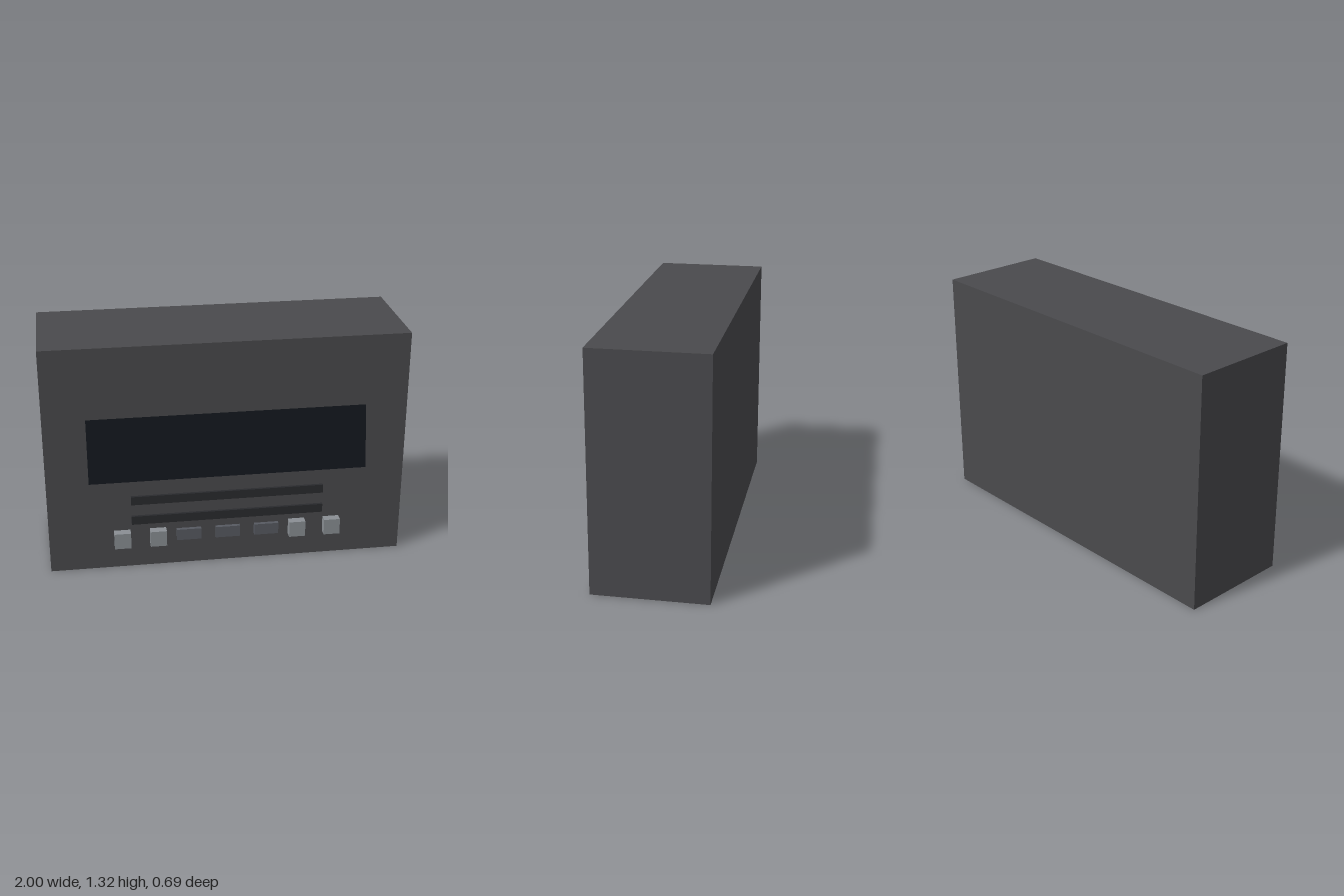
import * as THREE from 'three';

const FRONT = 0.285; // z of the front panel

export function createModel() {
  const model = new THREE.Group();
  const mat = (color) => new THREE.MeshStandardMaterial({ color });
  const body = mat(0x4a4a4d), slot = mat(0x2a2b2e), knob = mat(0x8a8f94), key = mat(0x575a62);

  // Box given by its centre in x and y, its size and its z range
  function box(name, material, x, y, w, h, z0, z1) {
    const mesh = new THREE.Mesh(new THREE.BoxGeometry(w, h, z1 - z0), material);
    mesh.position.set(x, y, (z0 + z1) / 2);
    mesh.name = name;
    model.add(mesh);
  }

  // Plain cabinet
  box('cabinet', body, 0, 0.659, 2, 1.318, -0.345, FRONT);

  // Thin display panel, leaning out at the bottom
  const top = [0.915, FRONT + 0.002], bottom = [0.56, 0.345];
  const dy = top[0] - bottom[0], dz = bottom[1] - top[1];
  const screenMat = mat(0x11151c);
  screenMat.side = THREE.DoubleSide;
  const screen = new THREE.Mesh(new THREE.PlaneGeometry(1.535, Math.hypot(dy, dz)), screenMat);
  screen.position.set(0, (top[0] + bottom[0]) / 2, (top[1] + bottom[1]) / 2);
  screen.rotation.x = -Math.atan2(dz, dy);
  screen.name = 'screen';
  model.add(screen);

  // Two long slots, just clear of the panel
  for (const y of [0.42, 0.298]) box('slot', slot, 0, y, 1.08, 0.05, 0.29, 0.305);

  // Square buttons in mirrored pairs
  for (const side of [-1, 1])
    for (const x of [0.394, 0.594]) box('squareButton', knob, side * x, 0.186, 0.092, 0.093, FRONT, 0.332);

  // Flat keys between them
  for (const x of [-0.22, 0, 0.22]) box('flatKey', key, x, 0.188, 0.138, 0.066, FRONT, 0.306);

  return model;
}
